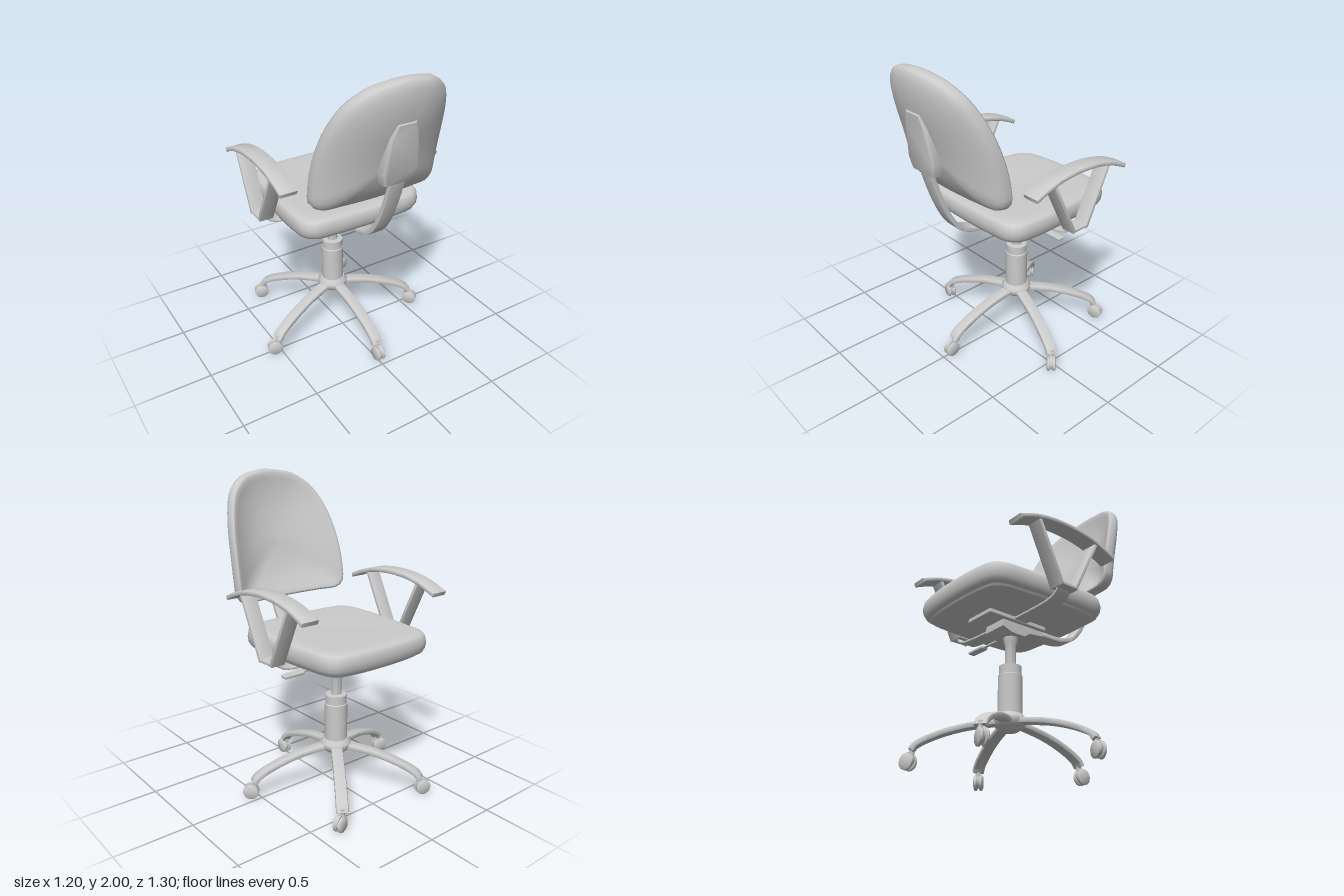
import * as THREE from 'three';
import { toCreasedNormals } from 'three/addons/utils/BufferGeometryUtils.js';
import { RoundedBoxGeometry } from 'three/addons/geometries/RoundedBoxGeometry.js';

const material = new THREE.MeshStandardMaterial({ color: 0xcccccc, roughness: 0.8 });
const AXIS_Z = -0.143; // column position

function add(parent, name, geometry, x = 0, y = 0, z = 0) {
  const mesh = new THREE.Mesh(geometry, material);
  mesh.name = name;
  mesh.position.set(x, y, z);
  parent.add(mesh);
  return mesh;
}

// Flat bar that follows a 2D path; its width runs along z
function ribbon(path, thick, width, steps = 20, bevel = 0.005) {
  const curve = new THREE.SplineCurve(path.map(([x, y]) => new THREE.Vector2(x, y)));
  const upper = [], lower = [], half = thick / 2 - bevel;
  for (let i = 0; i <= steps; i++) {
    const p = curve.getPoint(i / steps), t = curve.getTangent(i / steps);
    upper.push(new THREE.Vector2(p.x - t.y * half, p.y + t.x * half));
    lower.unshift(new THREE.Vector2(p.x + t.y * half, p.y - t.x * half));
  }
  const depth = width - 2 * bevel;
  const g = new THREE.ExtrudeGeometry(new THREE.Shape([...upper, ...lower]), {
    depth, bevelThickness: bevel, bevelSize: bevel, bevelSegments: 2,
  });
  return toCreasedNormals(g.translate(0, 0, -depth / 2), 0.7);
}

// Same bar with its path given as [z, y] and its width along x
const sideRibbon = (...args) => ribbon(...args).rotateY(-Math.PI / 2);

// Closed outline from the points of its +x half
function mirroredOutline(half, count) {
  const other = half.slice(1, -1).reverse().map(([x, y]) => [-x, y]);
  const pts = [...half, ...other].map(([x, y]) => new THREE.Vector3(x, y, 0));
  return new THREE.CatmullRomCurve3(pts, true, 'centripetal').getSpacedPoints(count).slice(0, count);
}

// Skin over rings of an outline; place(point, ring) gives [x, y, z]
function loft(outline, rings, place) {
  const n = outline.length, pos = [], index = [];
  rings.forEach((ring, r) => outline.forEach((p, i) => {
    pos.push(...place(p, ring));
    if (r === rings.length - 1) return;
    const a = r * n + i, b = r * n + (i + 1) % n;
    index.push(a, a + n, b, b, a + n, b + n);
  }));
  const g = new THREE.BufferGeometry();
  g.setAttribute('position', new THREE.Float32BufferAttribute(pos, 3));
  g.setIndex(index);
  g.computeVertexNormals();
  return g;
}

const lathe = (profile, sides = 24) => toCreasedNormals(
  new THREE.LatheGeometry(profile.map(([r, y]) => new THREE.Vector2(r, y)), sides), 0.6);

function buildSeat(chair) {
  const outline = mirroredOutline([[0, -0.61], [0.25, -0.597], [0.355, -0.57], [0.395, -0.51], [0.417, -0.35],
    [0.438, -0.05], [0.438, 0.1], [0.422, 0.22], [0.368, 0.275], [0.2, 0.295], [0, 0.3]], 72);
  const mid = -0.155;
  const place = (p, [s, y]) => [p.x * s, y, mid + (p.y - mid) * s];
  add(chair, 'seatBoard', toCreasedNormals(loft(outline,
    [[0.01, 0.925], [0.84, 0.925], [0.9, 0.938], [0.93, 0.965], [0.01, 0.97]], place), 0.6));
  add(chair, 'seatCushion', loft(outline, [[0.01, 0.95], [0.91, 0.95], [0.96, 0.957], [0.99, 0.985], [1, 1.02],
    [0.99, 1.053], [0.965, 1.073], [0.92, 1.082], [0.8, 1.085], [0.4, 1.08], [0, 1.077]], place));
}

function buildBackrest(chair) {
  const outline = mirroredOutline([[0, 1.2], [0.25, 1.2], [0.38, 1.203], [0.42, 1.24], [0.427, 1.34], [0.42, 1.5],
    [0.402, 1.64], [0.367, 1.77], [0.31, 1.88], [0.2, 1.965], [0.1, 1.99], [0, 2]], 72);
  // leaning, dished shell: each ring is [scale, z offset], back to front
  const place = (p, [s, offset]) => {
    const x = p.x * s, y = 1.55 + (p.y - 1.55) * s;
    const lean = 0.305 + 0.255 * Math.max(0, (y - 1.2) / 0.8) ** 1.7;
    const wrap = 0.04 * (1 - (x / 0.43) ** 2);
    return [x, y, lean + wrap + 0.115 * (1 - s ** 3) + offset];
  };
  add(chair, 'backrest', loft(outline, [[0, 0.05], [0.3, 0.05], [0.55, 0.05], [0.75, 0.05], [0.88, 0.05],
    [0.95, 0.046], [0.985, 0.038], [1, 0.02], [1, -0.015], [0.985, -0.033], [0.95, -0.045], [0.88, -0.05],
    [0.7, -0.05], [0.45, -0.05], [0.2, -0.05], [0, -0.05]], place));

  // bracket cover on the shell, sheared to follow the lean
  const cover = new THREE.Shape([[-0.09, 1.39], [0.09, 1.39], [0.112, 1.46], [0.082, 1.68], [0.055, 1.75],
    [-0.055, 1.75], [-0.082, 1.68], [-0.112, 1.46]].map(([x, y]) => new THREE.Vector2(x, y)));
  const g = new THREE.ExtrudeGeometry(cover,
    { depth: 0.055, bevelThickness: 0.02, bevelSize: 0.01, bevelSegments: 2 });
  const v = g.attributes.position;
  for (let i = 0; i < v.count; i++) v.setZ(i, v.getZ(i) + 0.52 + (v.getY(i) - 1.4) * 0.13);
  add(chair, 'backrestBracketCover', toCreasedNormals(g, 0.7));

  add(chair, 'backrestBar', sideRibbon([[0.575, 1.45], [0.552, 1.35], [0.49, 1.17], [0.42, 1.03], [0.34, 0.945],
    [0.23, 0.907], [0.08, 0.903], [-0.1, 0.903]], 0.03, 0.1, 32));
}

function buildArm(chair, side) {
  const arm = new THREE.Group();
  arm.name = side > 0 ? 'leftArmrest' : 'rightArmrest';
  chair.add(arm);
  const x = side * 0.504;
  add(arm, 'armPad', sideRibbon([[0.218, 1.291], [0.12, 1.331], [0, 1.36], [-0.15, 1.371], [-0.3, 1.36],
    [-0.42, 1.331], [-0.518, 1.291]], 0.028, 0.118, 24, 0.009), x);
  add(arm, 'rearStrut', sideRibbon([[0.08, 1.34], [-0.105, 0.97]], 0.022, 0.1, 1), x);
  add(arm, 'frontStrut', sideRibbon([[-0.38, 1.34], [-0.212, 0.97]], 0.022, 0.1, 1), x);
  add(arm, 'strutFoot', new RoundedBoxGeometry(0.095, 0.022, 0.13, 2, 0.006), x, 0.975, -0.158);
  // flat bar running under the seat
  const bar = ribbon([[0.5, 0.975], [0.475, 0.945], [0.42, 0.922], [0.3, 0.912], [0.05, 0.908]], 0.016, 0.1);
  if (side < 0) bar.rotateY(Math.PI);
  add(arm, 'armBar', bar, 0, 0, -0.155);
}

function buildMechanism(chair) {
  add(chair, 'mountingPlate', new RoundedBoxGeometry(0.22, 0.028, 0.44, 2, 0.006), 0, 0.908, -0.17);
  // tapered housing
  const side = new THREE.Shape([[0.05, 0.9], [0.05, 0.865], [-0.06, 0.853], [-0.1, 0.825], [-0.2, 0.825],
    [-0.27, 0.85], [-0.27, 0.9]].map(([z, y]) => new THREE.Vector2(z, y)));
  const g = new THREE.ExtrudeGeometry(side, { depth: 0.17, bevelEnabled: false });
  add(chair, 'tiltHousing', g.translate(0, 0, -0.085).rotateY(-Math.PI / 2));
  add(chair, 'leverRod', new THREE.CylinderGeometry(0.009, 0.009, 0.22, 10).rotateZ(Math.PI / 2), 0.18, 0.852, AXIS_Z);
  add(chair, 'leverPaddle', new RoundedBoxGeometry(0.15, 0.024, 0.05, 3, 0.01), 0.34, 0.85, AXIS_Z);
}

function buildBase(chair) {
  const base = new THREE.Group();
  base.name = 'swivelBase';
  base.position.z = AXIS_Z;
  chair.add(base);

  add(base, 'gasColumn', lathe([[0, 0.3], [0.074, 0.3], [0.074, 0.575], [0.069, 0.58], [0.069, 0.637],
    [0.034, 0.64], [0.034, 0.77], [0.045, 0.8], [0.048, 0.84]]));
  add(base, 'hub', lathe([[0, 0.235], [0.05, 0.235], [0.085, 0.26], [0.1, 0.285], [0.1, 0.305], [0.08, 0.335], [0, 0.34]]));

  const legShape = ribbon([[0.05, 0.29], [0.16, 0.274], [0.27, 0.253], [0.38, 0.22], [0.48, 0.178],
    [0.535, 0.145], [0.555, 0.118]], 0.035, 0.074, 24, 0.01);
  const wheel = lathe([[0, -0.012], [0.04, -0.012], [0.049, -0.006], [0.049, 0.006], [0.04, 0.012], [0, 0.012]], 20)
    .rotateX(Math.PI / 2);
  const stem = new THREE.CylinderGeometry(0.016, 0.016, 0.08, 12);
  const core = new THREE.CylinderGeometry(0.045, 0.045, 0.016, 18).rotateX(Math.PI / 2);

  // five legs, the first pointing to +z, each caster swivelled by its own angle
  [0, -0.45, -0.62, 0.64, -0.6].forEach((swivel, i) => {
    const leg = new THREE.Group();
    leg.name = 'baseLeg' + (i + 1);
    leg.rotation.y = -Math.PI / 2 + i * Math.PI * 2 / 5;
    base.add(leg);
    add(leg, 'legBar', legShape);

    const caster = new THREE.Group();
    caster.name = 'caster';
    caster.position.x = 0.555;
    caster.rotation.y = swivel;
    leg.add(caster);
    add(caster, 'casterStem', stem, 0, 0.1, 0);
    add(caster, 'casterCore', core, 0.024, 0.06, 0);
    for (const s of [-1, 1]) add(caster, 'casterWheel', wheel, 0.024, 0.049, s * 0.017);
  });
}

export function createModel() {
  const chair = new THREE.Group();
  chair.name = 'officeChair';
  buildSeat(chair);
  buildBackrest(chair);
  for (const side of [-1, 1]) buildArm(chair, side);
  buildMechanism(chair);
  buildBase(chair);
  chair.children.forEach((part) => { part.position.x += 0.007; });
  return chair;
}
